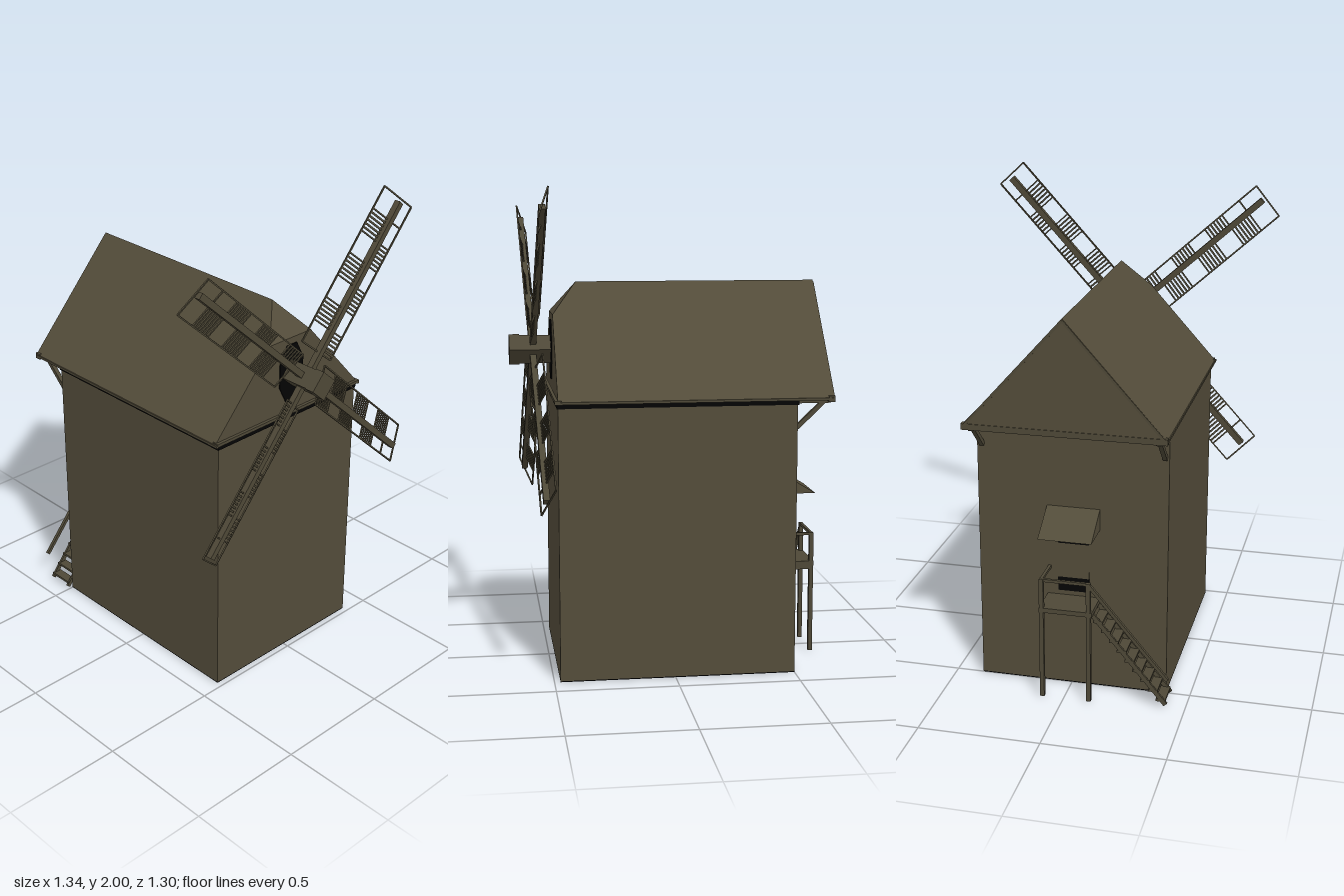
import * as THREE from 'three';
import { ConvexGeometry } from 'three/addons/geometries/ConvexGeometry.js';

const paint = (name, color) => {
  const m = new THREE.MeshStandardMaterial({ color });
  m.name = name;
  return m;
};

export function createModel() {
  const model = new THREE.Group();
  model.name = 'postMill';
  const boards = paint('weatheredBoards', 0x534c3a);
  const timber = paint('timber', 0x4e4837);
  const dark = paint('darkOpening', 0x040404);

  const add = (parent, name, geometry, material) => {
    const mesh = new THREE.Mesh(geometry, material);
    mesh.name = name;
    parent.add(mesh);
    return mesh;
  };
  // box given by its lower and upper corners
  const box = (parent, name, a, b, material) => {
    const mesh = add(parent, name, new THREE.BoxGeometry(b[0] - a[0], b[1] - a[1], b[2] - a[2]), material);
    mesh.position.set((a[0] + b[0]) / 2, (a[1] + b[1]) / 2, (a[2] + b[2]) / 2);
  };
  // bar running between two points, in the frame of its parent
  const up = new THREE.Vector3(0, 1, 0);
  const beam = (parent, name, a, b, w, h = w) => {
    const p = new THREE.Vector3(...a), q = new THREE.Vector3(...b);
    const mesh = add(parent, name, new THREE.BoxGeometry(w, h, p.distanceTo(q)), timber);
    mesh.quaternion.setFromRotationMatrix(new THREE.Matrix4().lookAt(q, p, up));
    mesh.position.copy(p).add(q).multiplyScalar(0.5);
  };
  const hull = (name, pts) =>
    add(model, name, new ConvexGeometry(pts.map(p => new THREE.Vector3(...p))), boards);

  // Body
  box(model, 'body', [-0.4, 0.004, -0.5], [0.388, 1.15, 0.475], boards);
  box(model, 'underside', [-0.4, 0, -0.5], [0.388, 0.004, 0.475], dark);
  box(model, 'eaveShadowGap', [-0.404, 1.126, -0.504], [0.392, 1.147, 0.479], dark);

  // Roof with a small clipped hip at the front
  const cx = -0.008;
  hull('roof', [
    [-0.42, 1.15, -0.648], [0.404, 1.15, -0.648], [-0.42, 1.15, 0.475], [0.404, 1.15, 0.475],
    [cx, 1.61, -0.648], [cx, 1.61, 0.37], [cx - 0.116, 1.48, 0.475], [cx + 0.116, 1.48, 0.475],
  ]);
  box(model, 'frontEaveBeam', [-0.415, 1.147, 0.46], [0.404, 1.16, 0.488], timber);
  box(model, 'backEaveBeam', [-0.42, 1.137, -0.651], [0.404, 1.162, -0.625], timber);
  for (const s of [-1, 1]) {
    const x = cx + s * 0.408;
    box(model, 'sideEave', [x - 0.005, 1.144, -0.65], [x + 0.005, 1.154, 0.488], timber);
    beam(model, 'overhangBrace', [cx + s * 0.375, 1.03, -0.5], [cx + s * 0.375, 1.14, -0.615], 0.018);
    beam(model, 'overhangBeam', [cx + s * 0.375, 1.14, -0.49], [cx + s * 0.375, 1.14, -0.64], 0.02);
    beam(model, 'gableTrim', [cx + s * 0.4, 1.155, -0.648], [cx, 1.6, -0.648], 0.006, 0.01);
  }

  // Windshaft and the opening behind it
  const octagon = new THREE.CylinderGeometry(0.135, 0.135, 0.008, 8)
    .rotateY(Math.PI / 8).rotateX(Math.PI / 2).scale(0.52, 1, 1);
  add(model, 'shaftOpening', octagon, dark).position.set(-0.002, 1.328, 0.476);
  const angle = THREE.MathUtils.degToRad(48);
  const shaft = new THREE.Group();
  shaft.name = 'windshaft';
  shaft.position.set(0, 1.328, 0);
  shaft.rotation.z = angle;
  model.add(shaft);
  box(shaft, 'shaft', [-0.042, -0.042, 0.4], [0.042, 0.042, 0.61], timber);
  box(shaft, 'shaftHead', [-0.045, -0.045, 0.61], [0.045, 0.045, 0.652], timber);

  // Four sails, each a lattice frame pitched around its spar
  const rotor = new THREE.Group();
  rotor.name = 'sails';
  rotor.position.set(0, 1.328, 0.553);
  rotor.rotation.y = 0.033;
  model.add(rotor);
  const R0 = 0.115, R1 = 0.815, LEAD = -0.067, TRAIL = 0.1, bays = 7;
  const bay = (R1 - R0) / bays;
  for (let i = 0; i < 4; i++) {
    const sail = new THREE.Group();
    sail.name = 'sail';
    sail.rotation.z = angle + i * Math.PI / 2;
    rotor.add(sail);
    box(sail, 'spar', [0, -0.013, -0.012], [0.8, 0.013, 0.014], timber);
    const frame = new THREE.Group();
    frame.name = 'sailFrame';
    frame.rotation.x = -0.29;
    sail.add(frame);
    for (const y of [LEAD, TRAIL])
      box(frame, 'sailEdge', [R0, y - 0.003, -0.003], [R1, y + 0.003, 0.003], timber);
    for (let k = 0; k <= bays; k++) {
      const r = R0 + k * bay;
      box(frame, 'sailBar', [r - 0.003, LEAD, -0.003], [r + 0.003, TRAIL, 0.003], timber);
      if (k >= bays - 1) continue;
      // louvres alternate between the wide and the narrow side
      const wide = k % 2 === 1;
      const y0 = wide ? 0.012 : LEAD, y1 = wide ? TRAIL : -0.012;
      for (let j = 1; j < 6; j++) {
        const x = r + bay * j / 6;
        box(frame, 'louvre', [x - 0.004, y0, -0.002], [x + 0.004, y1, 0.002], timber);
      }
    }
  }

  // Back door and its lean-to canopy
  box(model, 'doorOpening', [-0.075, 0.63, -0.504], [0.055, 0.7, -0.498], dark);
  box(model, 'door', [-0.075, 0.48, -0.504], [0.055, 0.63, -0.498], boards);
  box(model, 'doorGap', [-0.075, 0.42, -0.504], [0.055, 0.48, -0.498], dark);
  hull('doorCanopy', [
    [-0.12, 0.79, -0.499], [0.1, 0.79, -0.499], [-0.12, 0.7, -0.499], [0.1, 0.7, -0.499],
    [-0.12, 0.7, -0.648], [0.1, 0.7, -0.648],
  ]);

  // Landing on posts with rails
  box(model, 'landing', [-0.12, 0.38, -0.645], [0.1, 0.4, -0.5], timber);
  for (const x of [-0.105, 0.09]) {
    box(model, 'landingPost', [x - 0.009, 0, -0.644], [x + 0.009, 0.525, -0.626], timber);
    beam(model, 'landingJoist', [x, 0.372, -0.64], [x, 0.372, -0.5], 0.016);
  }
  beam(model, 'landingRail', [0.09, 0.52, -0.5], [0.09, 0.52, -0.64], 0.012);
  beam(model, 'landingRail', [-0.11, 0.52, -0.635], [0.095, 0.52, -0.635], 0.012);

  // Stair going down along the back wall
  for (const z of [-0.508, -0.615])
    beam(model, 'stairString', [-0.115, 0.38, z], [-0.42, 0.012, z], 0.01, 0.018);
  for (let i = 0; i < 9; i++) {
    const y = 0.35 - i * 0.04, x = -0.14 - i * 0.0325;
    box(model, 'stairTread', [x - 0.02, y - 0.005, -0.62], [x + 0.02, y + 0.005, -0.505], timber);
  }
  beam(model, 'handrail', [-0.105, 0.52, -0.637], [-0.43, 0.135, -0.637], 0.014);

  return model;
}
